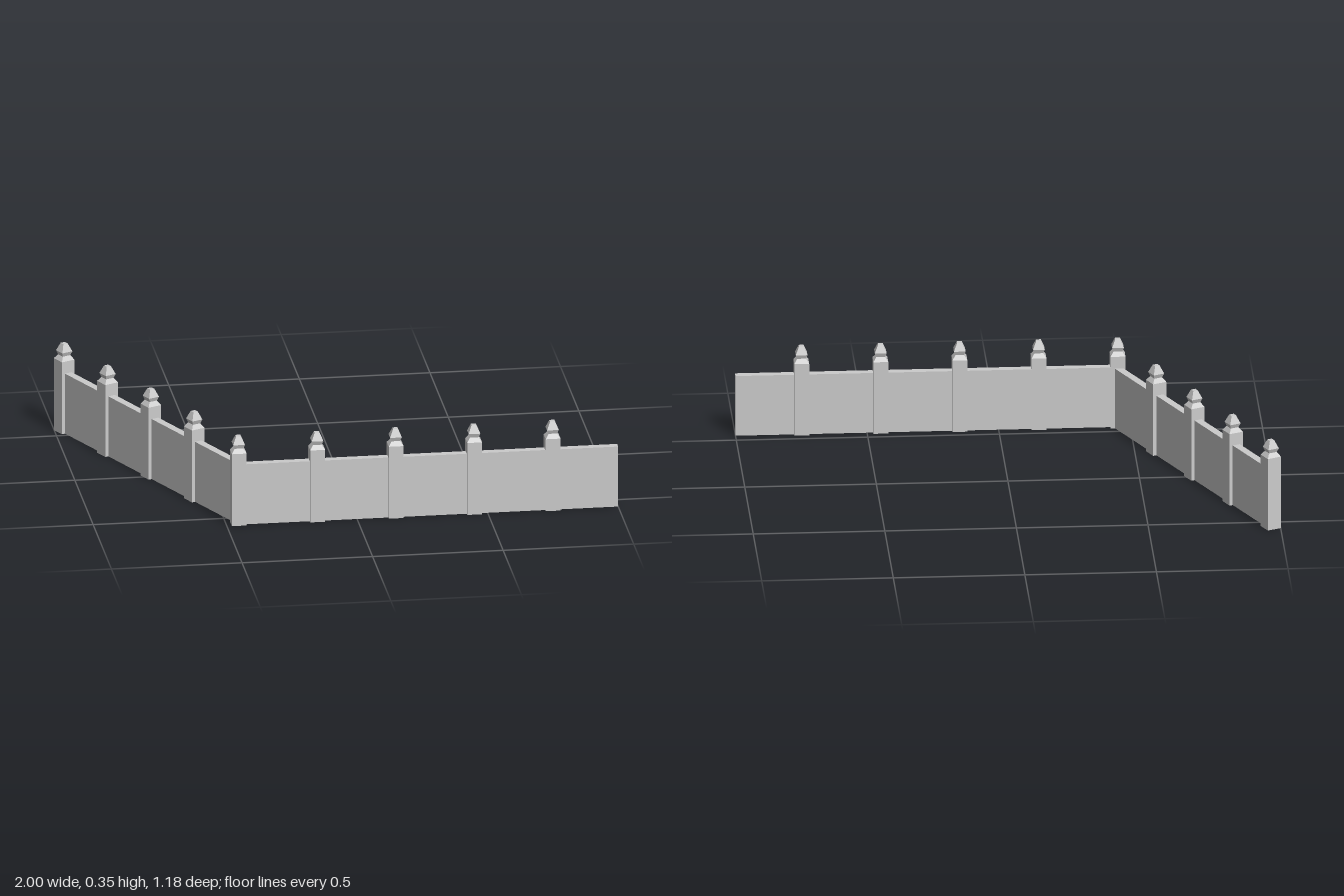
import * as THREE from 'three';

const material = new THREE.MeshStandardMaterial({ color: 0xcccccc, flatShading: true });
const WALL_HEIGHT = 0.242, WALL_DEPTH = 0.03;

// Square post with sloped shoulder and finial: [half width, height]
const profile = [
  [0, 0], [0.0285, 0], [0.0285, 0.29], [0.0165, 0.307],
  [0.0225, 0.323], [0.0095, 0.354], [0, 0.354],
].map(([half, y]) => new THREE.Vector2(half * Math.SQRT2, y));
const postGeometry = new THREE.LatheGeometry(profile, 4, Math.PI / 4);

function addPost(parent, name, x) {
  const post = new THREE.Mesh(postGeometry, material);
  post.name = name;
  post.position.x = x;
  parent.add(post);
}

// Straight run along local +x: one wall with posts set into it
function createRun(name, start, end, postPositions) {
  const run = new THREE.Group();
  run.name = name;
  const wall = new THREE.Mesh(new THREE.BoxGeometry(end - start, WALL_HEIGHT, WALL_DEPTH), material);
  wall.name = name + 'Wall';
  wall.position.set((start + end) / 2, WALL_HEIGHT / 2, 0);
  run.add(wall);
  postPositions.forEach((x, i) => addPost(run, `${name}Post${i + 1}`, x));
  return run;
}

export function createModel() {
  const fence = new THREE.Group();
  fence.name = 'cornerFence';

  // Front run, including the corner post
  const front = createRun('front', 0, 1.453, [0, 1, 2, 3, 4].map((i) => i * 0.3005));
  front.position.set(-0.453, 0, 0.562);
  fence.add(front);

  // Side run, turned back from the corner
  const side = createRun('side', -0.005, 1.208, [1, 2, 3, 4].map((i) => i * 0.302));
  side.position.set(-0.453, 0, 0.543);
  side.rotation.y = THREE.MathUtils.degToRad(115);
  fence.add(side);

  return fence;
}
